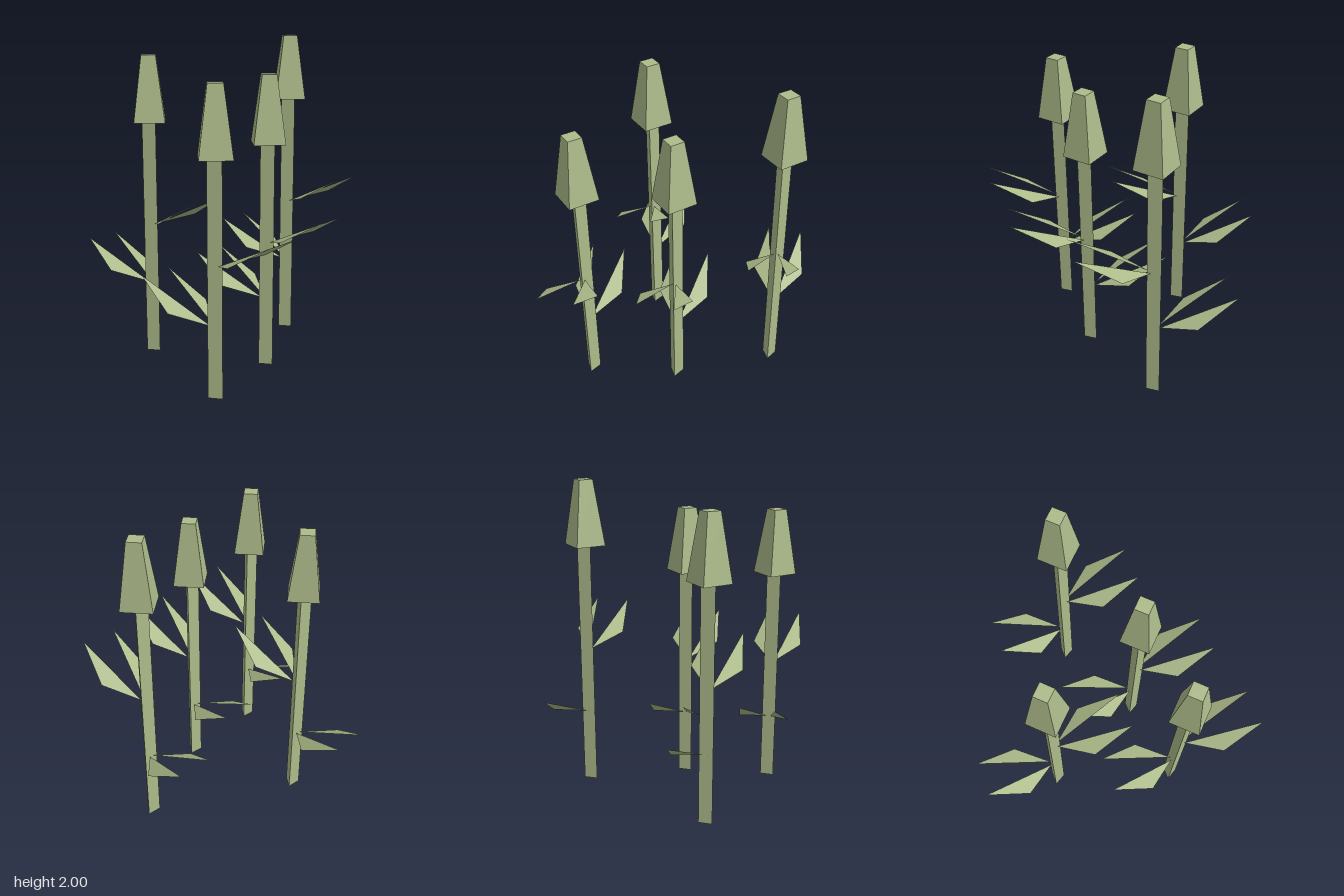
import * as THREE from 'three';

const green = new THREE.MeshStandardMaterial({ color: 0xadbb8a, side: THREE.DoubleSide });
green.name = 'sage green';

// One flat triangular leaf: base on the stem, wide outer corner, pointed tip
function makeLeaf(sx, sz, baseY) {
  const base = [sx * 0.027, baseY, sz * 0.01];
  const outer = [sx * 0.225, baseY + 0.069, sz * 0.16];
  const tip = [sx * 0.49, baseY + 0.226, sz * 0.108];
  // corner order chosen so the front of every leaf faces up
  const corners = sx * sz > 0 ? [base, outer, tip] : [base, tip, outer];
  const geo = new THREE.BufferGeometry();
  geo.setAttribute('position', new THREE.Float32BufferAttribute(corners.flat(), 3));
  geo.computeVertexNormals();
  const leaf = new THREE.Mesh(geo, green);
  leaf.name = sx > 0 ? 'upperLeaf' : 'lowerLeaf';
  return leaf;
}

// Faceted prism or tapered block with hard edges, standing on y
function makeBlock(name, rTop, rBottom, height, sides, start, y) {
  const geo = new THREE.CylinderGeometry(rTop, rBottom, height, sides, 1, false, start).toNonIndexed();
  geo.computeVertexNormals();
  const mesh = new THREE.Mesh(geo, green);
  mesh.name = name;
  mesh.position.y = y + height / 2;
  return mesh;
}

function makePlant(x, z, stemHeight) {
  const plant = new THREE.Group();
  plant.name = 'plant';
  plant.position.set(x, 0, z);
  // three-sided stem with one edge towards +x
  plant.add(makeBlock('stem', 0.05, 0.05, stemHeight, 3, Math.PI / 2, 0));
  // four-sided tapered flower head
  plant.add(makeBlock('flowerHead', 0.062, 0.134, 0.406, 4, 0, stemHeight));
  // a high pair of leaves on one side, a low pair on the other
  for (const sz of [1, -1]) {
    plant.add(makeLeaf(1, sz, stemHeight * 0.567));
    plant.add(makeLeaf(-1, sz, stemHeight * 0.306));
  }
  return plant;
}

export function createModel() {
  const model = new THREE.Group();
  model.name = 'plantCluster';
  const plants = [
    [0.005, -0.57, 1.594],
    [-0.385, 0.32, 1.5],
    [0.38, 0.566, 1.403],
    [0.3, 0.01, 1.403],
  ];
  for (const p of plants) model.add(makePlant(...p));
  return model;
}
